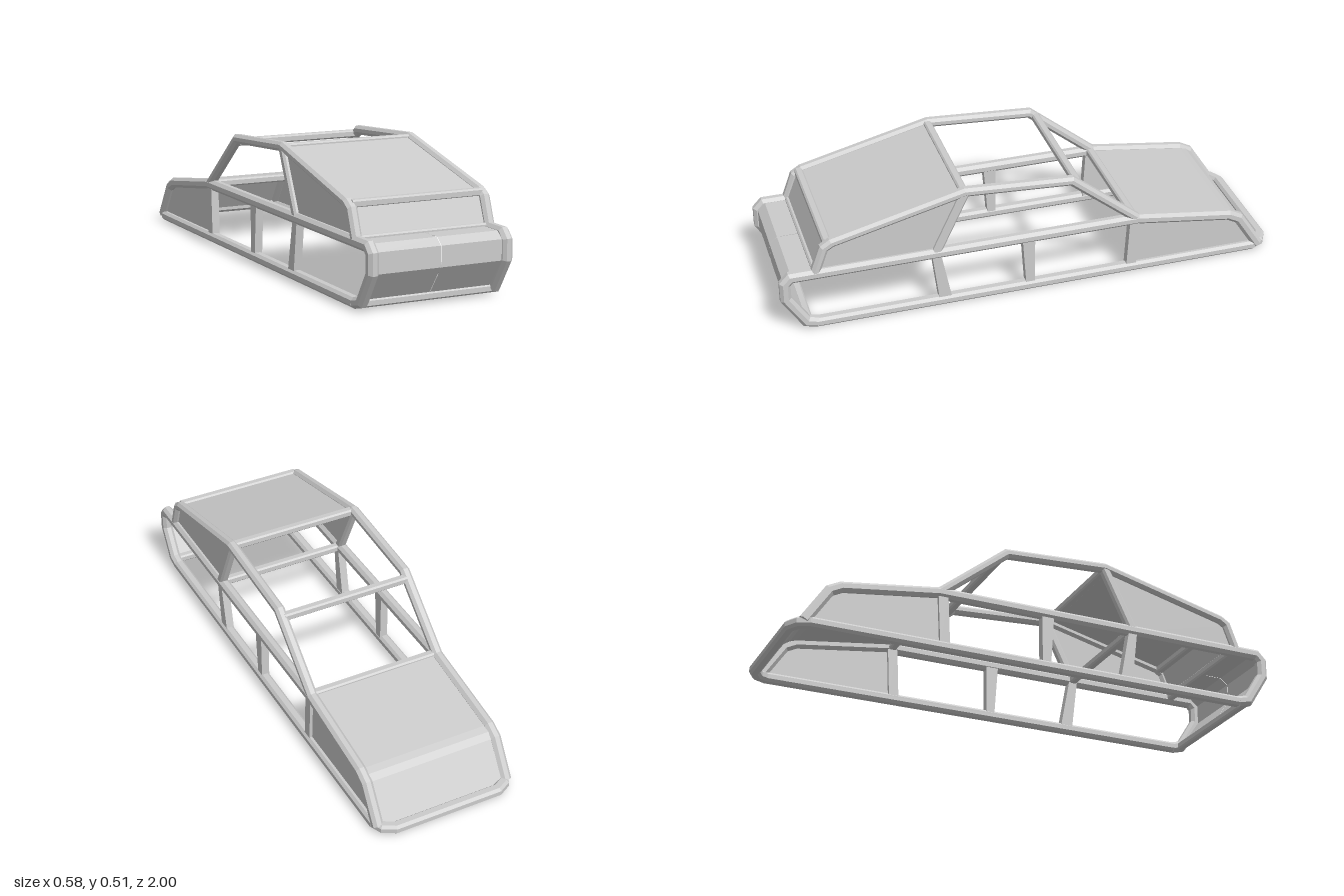
import * as THREE from 'three';

const material = new THREE.MeshStandardMaterial({ color: 0xcccccc, flatShading: true, side: THREE.DoubleSide });
const X = new THREE.Vector3(1, 0, 0);
const Y = new THREE.Vector3(0, 1, 0);
const RAIL_X = 0.271;

function makeMesh(name, geometry) {
  const mesh = new THREE.Mesh(geometry, material);
  mesh.name = name;
  return mesh;
}

function indexed(positions, index) {
  const g = new THREE.BufferGeometry();
  g.setAttribute('position', new THREE.Float32BufferAttribute(positions, 3));
  g.setIndex(index);
  const flat = g.toNonIndexed();
  flat.computeVertexNormals();
  return flat;
}

// Mitred bar with a chamfered square section; the path is planar and square to `axis`
function bar(name, points, axis = X, half = 0.021, chamfer = 0.012, halfV = half) {
  const path = points.map((p) => new THREE.Vector3(...p));
  const a = half - chamfer, b = halfV - chamfer;
  const section = [
    [half, -b], [half, b], [a, halfV], [-a, halfV],
    [-half, b], [-half, -b], [-a, -halfV], [a, -halfV],
  ];
  const n = section.length;
  const positions = [], index = [];
  path.forEach((p, i) => {
    const before = p.clone().sub(path[Math.max(i - 1, 0)]).normalize();
    const after = path[Math.min(i + 1, path.length - 1)].clone().sub(p).normalize();
    const tangent = before.clone().add(after).normalize();
    const stretch = 1 / tangent.dot(i > 0 ? before : after);
    const side = tangent.clone().cross(axis);
    for (const [u, v] of section) {
      const q = p.clone().addScaledVector(axis, u).addScaledVector(side, v * stretch);
      positions.push(q.x, q.y, q.z);
    }
    if (i === 0) return;
    for (let j = 0; j < n; j++) {
      const k = (j + 1) % n, r0 = (i - 1) * n, r1 = i * n;
      index.push(r0 + j, r0 + k, r1 + k, r0 + j, r1 + k, r1 + j);
    }
  });
  const last = (path.length - 1) * n;
  for (let j = 1; j < n - 1; j++) {
    index.push(0, j + 1, j, last, last + j, last + j + 1);
  }
  return makeMesh(name, indexed(positions, index));
}

// Sheet following a [z, y] profile from x0 to x1
function sheet(name, profile, x0 = -0.262, x1 = 0.262) {
  const positions = [], index = [];
  profile.forEach(([z, y], i) => {
    positions.push(x0, y, z, x1, y, z);
    if (i > 0) index.push(2 * i - 2, 2 * i, 2 * i - 1, 2 * i - 1, 2 * i, 2 * i + 1);
  });
  return makeMesh(name, indexed(positions, index));
}

// Flat plate in the side plane, outlined by [z, y] points
function plate(name, outline, x, thickness) {
  const shape = new THREE.Shape(outline.map(([z, y]) => new THREE.Vector2(z, y)));
  const g = new THREE.ExtrudeGeometry(shape, { depth: thickness, bevelEnabled: false });
  g.rotateY(-Math.PI / 2).translate(x + thickness / 2, 0, 0);
  return makeMesh(name, g);
}

// Side profiles as [z, y]
const nose = [[0.86, 0.022], [0.905, 0.034], [0.978, 0.15], [0.978, 0.218], [0.955, 0.242]];
const tail = [[-0.425, 0.242], [-0.81, 0.186], [-0.855, 0.163], [-0.945, 0.026]];
const roof = [[0.862, 0.245], [0.823, 0.35], [0.793, 0.369], [0.277, 0.495], [-0.147, 0.467], [-0.425, 0.242]];

function createSide(s) {
  const side = new THREE.Group();
  side.name = s > 0 ? 'leftSide' : 'rightSide';
  const x = s * RAIL_X;
  const at = (profile) => profile.map(([z, y]) => [x, y, z]);

  // Frame rails
  side.add(bar('beltRail', at([...nose, ...tail])));
  side.add(bar('roofRail', at(roof), X, 0.02, 0.011, 0.018));
  side.add(bar('centrePillar', at([[0.277, 0.49], [0.395, 0.242]]), X, 0.018, 0.008));

  // Lower pillars, tapering towards the sill
  const pillars = [
    [[0.41, 0.235], [0.375, 0.235], [0.335, 0.03], [0.385, 0.03]],
    [[0.05, 0.235], [0.0, 0.235], [0.0, 0.03], [0.035, 0.03]],
    [[-0.39, 0.235], [-0.43, 0.235], [-0.42, 0.03], [-0.38, 0.03]],
  ];
  pillars.forEach((outline) => side.add(plate('lowerPillar', outline, s * 0.268, 0.032)));

  // Filled panels
  const frontOutline = [[0.395, 0.242], ...roof.slice(0, 4)];
  side.add(plate('frontSidePanel', frontOutline, s * 0.268, 0.008));
  side.add(plate('rearSidePanel', [[-0.405, 0.025], [-0.405, 0.242], ...tail], s * 0.268, 0.008));
  return side;
}

export function createModel() {
  const model = new THREE.Group();
  model.name = 'carFrame';
  model.add(createSide(1), createSide(-1));

  // Floor rail running round the tail with cut corners
  const half = [[RAIL_X, 0.86], [RAIL_X, -0.92], [0.255, -0.957], [0.215, -0.979]];
  const floor = half.concat(half.slice().reverse().map(([x, z]) => [-x, z]));
  model.add(bar('floorRail', floor.map(([x, z]) => [x, 0.023, z]), Y, 0.019, 0.01, 0.021));

  // Cross members as [name, z, y]
  const members = [
    ['noseLowerBar', 0.897, 0.028],
    ['cowlBar', 0.855, 0.247],
    ['frontPanelBar', 0.808, 0.366],
    ['roofFrontBar', 0.28, 0.492],
    ['roofRearBar', -0.172, 0.45],
    ['rearDeckBar', -0.41, 0.245],
    ['midBar', 0.393, 0.242],
  ];
  for (const [name, z, y] of members) {
    model.add(bar(name, [[-0.265, y, z], [0.265, y, z]], Y, 0.015, 0.006, 0.016));
  }

  // Nose skin in two halves with a centre seam
  const noseSkin = [[0.86, 0.25], [0.952, 0.25], [0.983, 0.224], [0.983, 0.146], [0.905, 0.038]];
  model.add(sheet('noseSkinLeft', noseSkin, 0.0012, 0.26));
  model.add(sheet('noseSkinRight', noseSkin, -0.26, -0.0012));

  // Body sheets
  model.add(sheet('frontPanel', [[0.862, 0.25], [0.815, 0.37]]));
  model.add(sheet('slopingPanel', [[0.8, 0.373], [0.277, 0.5]]));
  model.add(sheet('rearDeck', [[-0.415, 0.251], [-0.81, 0.194], [-0.838, 0.185], [-0.862, 0.168], [-0.955, 0.028]], -0.255, 0.255));

  // Centre the body and stand it on the ground
  const box = new THREE.Box3().setFromObject(model);
  const centre = box.getCenter(new THREE.Vector3());
  model.position.set(-centre.x, -box.min.y, -centre.z);
  return model;
}
